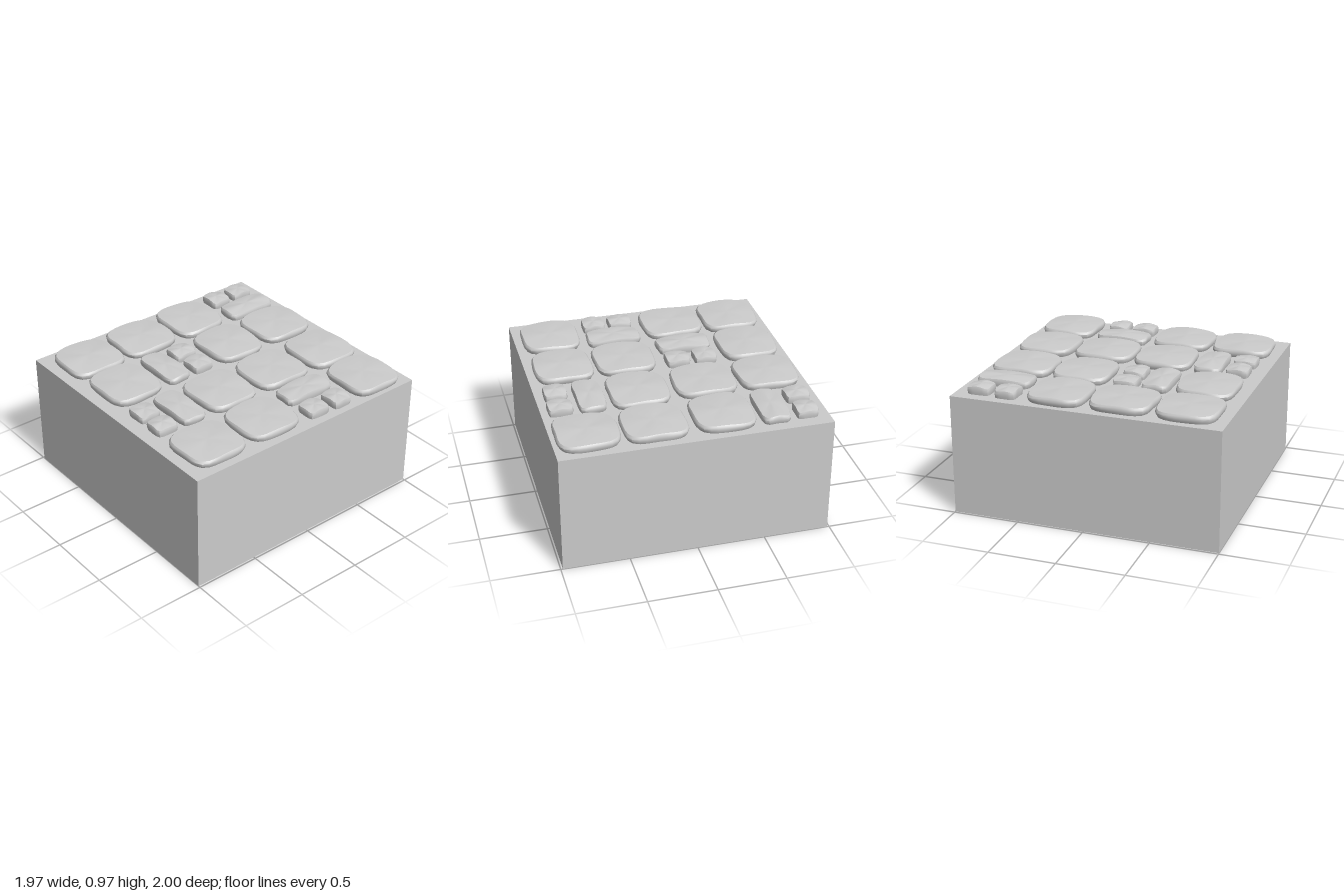
import * as THREE from 'three';
import { toCreasedNormals } from 'three/addons/utils/BufferGeometryUtils.js';

const BASE_TOP = 0.9;
const SIDES = 32;

// Cross-sections of a stone: [outline scale, height above the block]
const RINGS = [[0.945, -0.004], [0.99, 0.016], [1, 0.034], [0.985, 0.05], [0.95, 0.06], [0.6, 0.066], [0.25, 0.067]];

// Stones as [xMin, xMax, zMin, zMax]
const BIG = [
  [-0.46, -0.02, -0.95, -0.49], [0.03, 0.49, -0.95, -0.515], [0.51, 0.96, -0.95, -0.515],
  [-0.945, -0.49, -0.465, -0.035], [-0.47, -0.01, -0.465, -0.035], [0.035, 0.475, -0.49, -0.03],
  [-0.935, -0.495, -0.01, 0.45], [0.015, 0.47, 0.0, 0.44], [0.495, 0.93, -0.005, 0.445],
  [-0.935, -0.495, 0.475, 0.925], [-0.48, -0.015, 0.48, 0.915], [0.495, 0.93, 0.475, 0.925],
];
const HALF = [
  [-0.70, -0.49, -0.93, -0.52], [0.51, 0.715, -0.465, -0.055],
  [-0.455, -0.045, 0.235, 0.44], [0.035, 0.445, 0.475, 0.685],
];
const SMALL = [
  [-0.905, -0.745, -0.91, -0.735], [-0.92, -0.74, -0.695, -0.53],
  [0.755, 0.935, -0.445, -0.285], [0.76, 0.925, -0.245, -0.065],
  [-0.44, -0.27, 0.02, 0.20], [-0.235, -0.055, 0.025, 0.195],
  [0.05, 0.23, 0.725, 0.895], [0.265, 0.435, 0.725, 0.90],
];

// Rounded-square stone with a bulging rim and a gently domed, uneven top
function stoneGeometry([x0, x1, z0, z1], power, seed) {
  const cx = (x0 + x1) / 2, cz = (z0 + z1) / 2;
  const hx = (x1 - x0) / 2, hz = (z1 - z0) / 2;
  const pos = [], index = [];
  RINGS.forEach(([scale, h], r) => {
    for (let i = 0; i < SIDES; i++) {
      const a = (i / SIDES) * Math.PI * 2;
      const c = Math.cos(a), s = Math.sin(a);
      const radius = (Math.abs(c) ** power + Math.abs(s) ** power) ** (-1 / power);
      const wobble = 1 + 0.012 * Math.sin(3 * a + seed * 1.7) + 0.008 * Math.sin(5 * a + seed * 2.9 + r * 0.5);
      const k = radius * wobble * scale;
      const dip = r > 2 ? 0.003 * scale * Math.sin(2 * a + seed * 2.3) - 0.008 * scale * (radius - 1) / 0.2 : 0;
      pos.push(cx + hx * k * c, BASE_TOP + h + dip, cz + hz * k * s);
    }
  });
  const apex = pos.length / 3;
  pos.push(cx, BASE_TOP + 0.067, cz);
  for (let r = 0; r < RINGS.length; r++) {
    for (let i = 0; i < SIDES; i++) {
      const j = (i + 1) % SIDES;
      const a = r * SIDES + i, b = r * SIDES + j;
      if (r === RINGS.length - 1) index.push(a, apex, b);
      else index.push(a, a + SIDES, b, b, a + SIDES, b + SIDES);
    }
  }
  const geometry = new THREE.BufferGeometry();
  geometry.setAttribute('position', new THREE.Float32BufferAttribute(pos, 3));
  geometry.setIndex(index);
  return toCreasedNormals(geometry, Math.PI / 5);
}

export function createModel() {
  const model = new THREE.Group();
  model.name = 'cobblestoneBlock';
  const material = new THREE.MeshStandardMaterial({ color: 0xcccccc });

  // Ground block
  const block = new THREE.Mesh(new THREE.BoxGeometry(1.97, BASE_TOP, 2), material);
  block.position.y = BASE_TOP / 2;
  block.name = 'groundBlock';
  model.add(block);

  // Paving stones, grouped by size; smaller stones are squarer
  let seed = 1;
  for (const [name, list, power] of [['largeStone', BIG, 4], ['halfStone', HALF, 6], ['smallStone', SMALL, 6]]) {
    const group = new THREE.Group();
    group.name = name + 's';
    for (const rect of list) {
      const stone = new THREE.Mesh(stoneGeometry(rect, power, seed++), material);
      stone.name = name;
      group.add(stone);
    }
    model.add(group);
  }
  return model;
}
